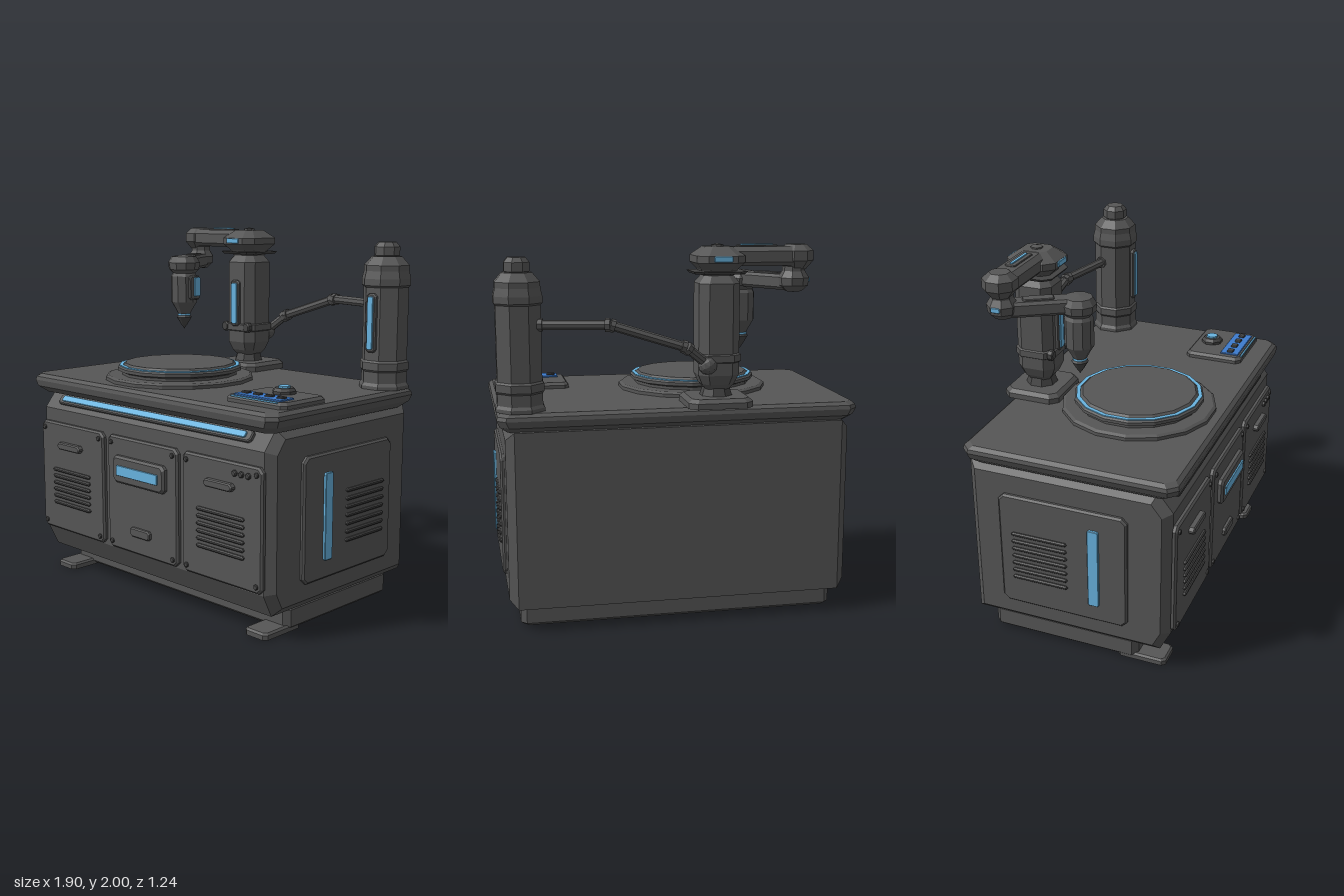
import * as THREE from 'three';

const mat = (name, color) => Object.assign(new THREE.MeshStandardMaterial({ color }), { name });
const grey = mat('body grey', 0x565656);
const dark = mat('dark trim', 0x444444);
const blue = mat('light blue', 0x68b4e0);
const deep = mat('deep blue', 0x3d7ccf);

const faceted = (g) => {
  const f = g.index ? g.toNonIndexed() : g;
  f.computeVertexNormals();
  return f;
};

function add(parent, name, geo, m, x = 0, y = 0, z = 0) {
  const mesh = new THREE.Mesh(geo, m);
  mesh.name = name;
  mesh.position.set(x, y, z);
  parent.add(mesh);
  return mesh;
}

function group(parent, name, x = 0, y = 0, z = 0) {
  const g = new THREE.Group();
  g.name = name;
  g.position.set(x, y, z);
  parent.add(g);
  return g;
}

// Solid through corner-cut rectangles; each section is [y, halfWidth, halfDepth, cornerCut]
function loft(sections) {
  const pos = [], idx = [], last = (sections.length - 1) * 8;
  for (const [y, w, d, c] of sections) {
    const ring = [[w, d - c], [w, c - d], [w - c, -d], [c - w, -d], [-w, c - d], [-w, d - c], [c - w, d], [w - c, d]];
    for (const [x, z] of ring) pos.push(x, y, z);
  }
  for (let s = 0; s < last; s += 8) {
    for (let j = 0; j < 8; j++) {
      const k = (j + 1) % 8;
      idx.push(s + j, s + k, s + 8 + k, s + j, s + 8 + k, s + 8 + j);
    }
  }
  for (let j = 1; j < 7; j++) idx.push(last, last + j, last + j + 1, 0, j + 1, j);
  const g = new THREE.BufferGeometry();
  g.setAttribute('position', new THREE.Float32BufferAttribute(pos, 3));
  g.setIndex(idx);
  return faceted(g);
}

// Flat slab lying on y = 0 with a bevelled upper rim
const slab = (w, h, d, c = 0.02, b = 0.01) => loft([
  [0, w / 2, d / 2, c], [h - b, w / 2, d / 2, c], [h, w / 2 - b, d / 2 - b, c * 0.8]]);

// The same slab standing upright, facing +z
const plate = (w, h, t, c = 0.015, b = 0.006) => slab(w, t, h, c, b).rotateX(Math.PI / 2);

// Faceted turned solid; profile runs bottom to top as [radius to flat, y]
function turned(profile, n = 8) {
  const k = 1 / Math.cos(Math.PI / n);
  const pts = profile.map(([r, y]) => new THREE.Vector2(r * k, y));
  return faceted(new THREE.LatheGeometry(pts, n, Math.PI / n));
}

// Straight rod between two points
function rod(parent, name, a, b, r, m = grey, n = 8) {
  const dir = b.clone().sub(a);
  const mesh = add(parent, name, faceted(new THREE.CylinderGeometry(r, r, dir.length(), n)), m);
  mesh.position.copy(a).addScaledVector(dir, 0.5);
  mesh.quaternion.setFromUnitVectors(new THREE.Vector3(0, 1, 0), dir.normalize());
}

function vents(parent, x, y, w, count, step, z) {
  for (let i = 0; i < count; i++) add(parent, 'ventSlat', plate(w, 0.02, 0.02, 0.008), dark, x, y - i * step, z);
}

// Raised frame holding a blue light strip, facing +z
function lightStrip(parent, w, h, x, y, z) {
  add(parent, 'lightFrame', plate(w + 0.025, h + 0.03, 0.02, 0.015), grey, x, y, z);
  add(parent, 'lightStrip', plate(w, h, 0.008, 0.008, 0.002), blue, x, y, z + 0.02);
}

function cabinet(root) {
  const g = group(root, 'cabinet');
  // Main body: side profile drawn as (-z, y) and extruded across the width
  const outline = [[0.55, 0.13], [0.55, 1.07], [-0.48, 1.07], [-0.56, 0.97], [-0.56, 0.25], [-0.50, 0.13]];
  const body = new THREE.ExtrudeGeometry(new THREE.Shape(outline.map(([x, y]) => new THREE.Vector2(x, y))),
    { depth: 1.73, bevelEnabled: true, bevelThickness: 0.045, bevelSize: 0.045, bevelOffset: -0.045, bevelSegments: 1 });
  add(g, 'body', faceted(body.translate(0, 0, -0.865).rotateY(Math.PI / 2)), grey);
  add(g, 'plinth', loft([[0.01, 0.835, 0.405, 0.03], [0.025, 0.85, 0.42, 0.03], [0.115, 0.85, 0.42, 0.03], [0.14, 0.83, 0.4, 0.03]]), grey, 0, 0, -0.055);
  for (const s of [-1, 1]) add(g, 'foot', slab(0.15, 0.035, 0.27, 0.02), grey, s * 0.77, 0, 0.385);
  add(g, 'counterTop', loft([[1.06, 0.895, 0.53, 0.04], [1.095, 0.935, 0.575, 0.045], [1.13, 0.95, 0.582, 0.045],
    [1.15, 0.945, 0.577, 0.045], [1.167, 0.925, 0.557, 0.045]]), grey, 0, 0, 0.018);

  // Light bar on the sloping upper front edge
  const bar = group(g, 'frontLightBar', 0, 1.02, 0.52);
  bar.rotation.x = -0.67;
  add(bar, 'lightBarFrame', plate(1.52, 0.065, 0.02), grey);
  add(bar, 'lightBarStrip', plate(1.45, 0.035, 0.008, 0.008, 0.002), blue, 0, 0, 0.02);

  // Three front doors
  for (const x of [-0.598, 0, 0.596]) {
    const d = group(g, 'frontDoor', x, 0.578, 0.56);
    add(d, 'doorPanel', plate(0.56, 0.635, 0.025, 0.025, 0.01), grey);
    for (const sx of [-1, 1]) for (const sy of [-1, 1])
      add(d, 'screw', plate(0.026, 0.026, 0.01, 0.008, 0.003), dark, sx * 0.245, sy * 0.28, 0.025);
    if (x) {
      add(d, 'handle', plate(0.2, 0.04, 0.035, 0.015), grey, 0, 0.192, 0.02);
      vents(d, 0, 0.042, 0.33, 6, 0.039, 0.02);
      if (x > 0) for (let i = 0; i < 3; i++)
        add(d, 'indicator', plate(0.03, 0.03, 0.015, 0.01, 0.004), dark, 0.1 + i * 0.046, 0.267, 0.025);
    } else {
      add(d, 'displayFrame', plate(0.41, 0.15, 0.035, 0.02, 0.012), grey, 0, 0.142, 0.02);
      add(d, 'display', plate(0.325, 0.055, 0.008, 0.003, 0.001), blue, 0, 0.14, 0.055);
      add(d, 'latch', plate(0.155, 0.05, 0.025, 0.012), grey, 0, -0.19, 0.02);
    }
  }

  // Mirrored side panels
  for (const s of [-1, 1]) {
    const p = group(g, 'sidePanel', s * 0.91, 0.59, -0.015);
    p.rotation.y = s * Math.PI / 2;
    add(p, 'sidePanelPlate', plate(0.71, 0.655, 0.022, 0.03, 0.01), grey);
    add(p, 'sideLight', plate(0.06, 0.455, 0.016, 0.008, 0.003), blue, -s * 0.175, 0, 0.02);
    vents(p, s * 0.128, 0.105, 0.31, 7, 0.044, 0.015);
  }
}

function turntable(root) {
  const g = group(root, 'turntable', -0.19, 1.165, 0.12);
  add(g, 'outerRing', turned([[0.41, 0], [0.41, 0.02], [0.395, 0.03], [0, 0.03]], 16), grey);
  add(g, 'turnDisc', turned([[0.32, 0.03], [0.32, 0.045], [0.345, 0.055], [0.345, 0.072], [0.335, 0.08], [0, 0.08]], 16), grey);
  add(g, 'blueRing', turned([[0.335, 0.065], [0.335, 0.085], [0.315, 0.085]], 16), blue);
  add(g, 'workDisc', turned([[0.316, 0.07], [0.316, 0.08], [0.302, 0.095], [0, 0.095]], 16), grey);
}

function controlPanel(root) {
  const g = group(root, 'controlPanel', 0.71, 1.165, 0.31);
  add(g, 'controlBase', slab(0.4, 0.035, 0.33, 0.025, 0.015), grey);
  add(g, 'knob', turned([[0.058, 0.03], [0.058, 0.05], [0.045, 0.065], [0, 0.065]]), dark, 0, 0, -0.065);
  add(g, 'knobLight', turned([[0.03, 0.06], [0.03, 0.075], [0, 0.075]]), blue, 0, 0, -0.065);
  add(g, 'keyStrip', slab(0.31, 0.009, 0.105, 0.003, 0.002), deep, 0, 0.034, 0.088);
  for (let i = 0; i < 4; i++) add(g, 'key', slab(0.045, 0.015, 0.035, 0.005, 0.003), dark, -0.118 + i * 0.079, 0.037, 0.088);
  add(g, 'edgeLight', slab(0.31, 0.008, 0.01, 0.001, 0.001), blue, 0, 0.03, 0.16);
}

function robotArm(root) {
  const g = group(root, 'robotArm', -0.195, 0, -0.455);
  add(g, 'basePlate', slab(0.34, 0.05, 0.32, 0.04, 0.02), grey, 0, 1.166, 0);
  add(g, 'baseNeck', turned([[0.085, 1.2], [0.06, 1.28]]), dark);
  add(g, 'column', loft([[1.25, 0.06, 0.06, 0.025], [1.28, 0.085, 0.085, 0.035], [1.33, 0.107, 0.107, 0.045],
    [1.8, 0.107, 0.107, 0.045], [1.84, 0.075, 0.075, 0.03]]), grey);
  lightStrip(g, 0.042, 0.24, 0, 1.56, 0.105);
  add(g, 'columnCollar', loft([[1.39, 0.1, 0.1, 0.04], [1.4, 0.115, 0.115, 0.045], [1.435, 0.115, 0.115, 0.045], [1.445, 0.1, 0.1, 0.04]]), grey);
  for (const s of [-1, 1]) add(g, 'collarLug', plate(0.05, 0.055, 0.03, 0.015), dark, s * 0.085, 1.42, 0.09);

  // Shoulder head
  add(g, 'shoulderFlange', loft([[1.848, 0.13, 0.12, 0.04], [1.862, 0.14, 0.13, 0.04]]), dark);
  add(g, 'shoulderHead', loft([[1.84, 0.08, 0.08, 0.03], [1.87, 0.095, 0.1, 0.04], [1.905, 0.125, 0.14, 0.05],
    [1.94, 0.125, 0.14, 0.05], [1.985, 0.07, 0.075, 0.03]]), grey);
  add(g, 'shoulderCap', turned([[0.03, 1.98], [0.03, 1.993], [0, 2]]), grey);
  for (const s of [-1, 1]) {
    const light = add(g, 'shoulderLight', plate(0.095, 0.028, 0.009, 0.004, 0.002), blue, 0, 1.925, s * 0.139);
    light.rotation.y = s > 0 ? 0 : Math.PI;
  }

  // Upper arm and elbow
  add(g, 'upperArm', loft([[1.885, 0.17, 0.06, 0.015], [1.905, 0.18, 0.078, 0.02], [1.96, 0.18, 0.078, 0.02], [1.983, 0.17, 0.05, 0.015]]), grey, -0.23);
  add(g, 'armLightFrame', slab(0.21, 0.01, 0.06, 0.01, 0.003), grey, -0.21, 1.98);
  add(g, 'armLight', slab(0.17, 0.006, 0.016, 0.003, 0.001), blue, -0.21, 1.99);
  add(g, 'elbowHead', turned([[0, 1.86], [0.05, 1.865], [0.085, 1.91], [0.085, 1.96], [0.05, 1.992], [0, 1.992]]), grey, -0.42);
  add(g, 'elbowJoint', turned([[0, 1.745], [0.04, 1.75], [0.07, 1.78], [0.075, 1.82], [0.055, 1.855], [0.055, 1.88]]), grey, -0.41);
  const elbowLight = add(g, 'elbowLight', plate(0.05, 0.025, 0.009, 0.005, 0.002), blue, -0.483, 1.81, 0);
  elbowLight.rotation.y = -Math.PI / 2;

  // Forearm, wrist and tool
  const f = group(g, 'forearm', -0.41, 1.795, 0);
  f.rotation.y = 0.55;
  add(f, 'forearmBeam', loft([[-0.04, 0.04, 0.17, 0.01], [-0.025, 0.052, 0.18, 0.015], [0.025, 0.052, 0.18, 0.015], [0.04, 0.04, 0.17, 0.01]]), grey, 0, 0, 0.19);
  add(f, 'forearmCover', slab(0.06, 0.01, 0.16, 0.01, 0.004), grey, 0, 0.038, 0.18);
  const t = group(g, 'tool', -0.215, 0, 0.33);
  add(t, 'wrist', turned([[0.06, 1.735], [0.085, 1.76], [0.09, 1.8], [0.07, 1.835], [0, 1.845]], 10), grey);
  add(t, 'toolBody', turned([[0, 1.5], [0.035, 1.5], [0.05, 1.53], [0.073, 1.57], [0.073, 1.72], [0.06, 1.745]], 10), grey);
  add(t, 'toolTip', turned([[0, 1.41], [0.02, 1.44], [0.043, 1.48], [0.035, 1.49]], 10), dark);
  add(t, 'toolRing', turned([[0.035, 1.488], [0.037, 1.495], [0.035, 1.502]], 10), blue);
  const side = group(t, 'toolLight', 0.066, 1.655, -0.012);
  side.rotation.y = Math.PI / 2;
  add(side, 'toolLightFrame', plate(0.08, 0.14, 0.018, 0.012), grey);
  add(side, 'toolLightPanel', plate(0.05, 0.11, 0.008, 0.006, 0.002), blue, 0.012, 0.005, 0.017);
}

function tower(root) {
  const g = group(root, 'tower', 0.825, 0, -0.43);
  add(g, 'towerBody', turned([[0.115, 1.166], [0.115, 1.26], [0.122, 1.27], [0.122, 1.31], [0.113, 1.32], [0.113, 1.705],
    [0.122, 1.715], [0.122, 1.75], [0.113, 1.79], [0.113, 1.82], [0.075, 1.865], [0, 1.865]]), grey);
  add(g, 'towerCap', turned([[0.05, 1.86], [0.064, 1.87], [0.064, 1.915], [0.045, 1.94], [0, 1.94]]), grey);
  add(g, 'towerFoot', turned([[0.125, 1.166], [0.125, 1.185], [0.115, 1.2]]), grey);
  lightStrip(g, 0.036, 0.28, 0, 1.52, 0.112);
}

// Jointed feed line from the column to the tower
function feedLine(root) {
  const g = group(root, 'feedLine');
  const p = [[-0.14, 1.38, -0.545], [-0.01, 1.485, -0.58], [0.375, 1.605, -0.555], [0.73, 1.605, -0.475]].map((a) => new THREE.Vector3(...a));
  for (let i = 0; i < 3; i++) {
    rod(g, 'feedPipe', p[i], p[i + 1], 0.025);
    for (const [t0, t1] of [[0, 0.025], [-0.025, 0]]) {
      const dir = p[i + 1].clone().sub(p[i]).normalize(), end = t0 < 0 ? p[i + 1] : p[i];
      rod(g, 'pipeCollar', end.clone().addScaledVector(dir, t0), end.clone().addScaledVector(dir, t1), 0.034);
    }
  }
  add(g, 'pipeSocket', faceted(new THREE.IcosahedronGeometry(0.05, 1)), grey, -0.13, 1.385, -0.545);
}

export function createModel() {
  const root = new THREE.Group();
  root.name = 'workbench';
  [cabinet, turntable, controlPanel, robotArm, tower, feedLine].forEach((build) => build(root));
  return root;
}
